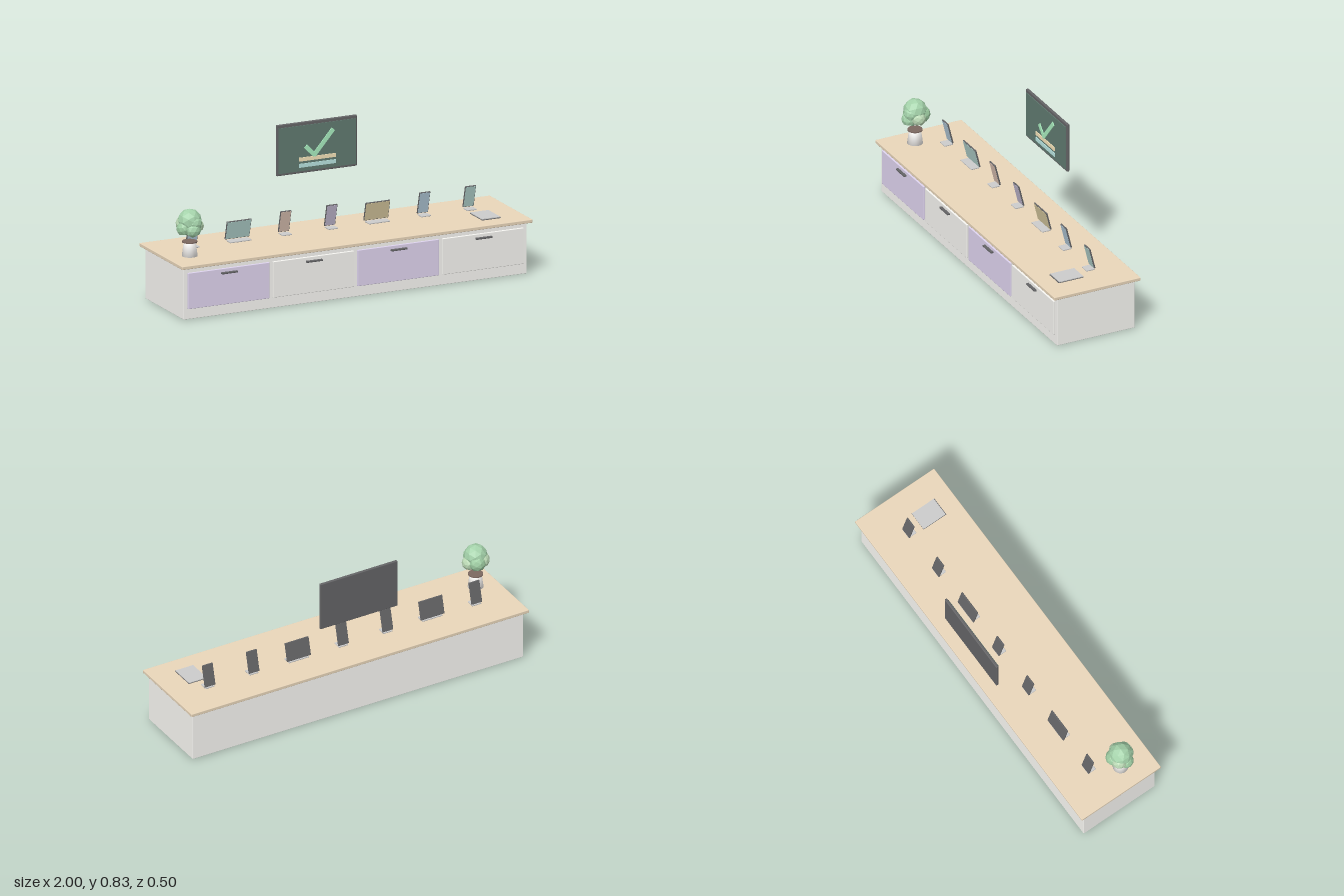
import * as THREE from 'three';
import { RoundedBoxGeometry } from 'three/addons/geometries/RoundedBoxGeometry.js';

const mat = (color, extra = {}) => new THREE.MeshStandardMaterial({ color, ...extra });
const M = {
  body: mat(0xf8f7f3), wood: mat(0xe9d6ba), dark: mat(0x646466), plinth: mat(0x525252),
  lilac: mat(0xded3ee), pale: mat(0xf6f5f1), white: mat(0xfdfdfb), grey: mat(0xd4d6d8),
  board: mat(0x607a70), mint: mat(0xa8ecbe), tan: mat(0xf4e2b8), aqua: mat(0xb8e4e0),
  pot: mat(0xf8f5f2), soil: mat(0x7c6860),
};

function add(parent, name, geometry, material, x, y, z) {
  const mesh = new THREE.Mesh(geometry, material);
  mesh.name = name;
  mesh.position.set(x, y, z);
  parent.add(mesh);
  return mesh;
}
const box = (parent, name, material, w, h, d, x, y, z) =>
  add(parent, name, new THREE.BoxGeometry(w, h, d), material, x, y, z);
const rounded = (parent, name, material, w, h, d, r, x, y, z) =>
  add(parent, name, new RoundedBoxGeometry(w, h, d, 2, r), material, x, y, z);
function group(parent, name, x = 0, y = 0, z = 0) {
  const g = new THREE.Group();
  g.name = name;
  g.position.set(x, y, z);
  parent.add(g);
  return g;
}

// Hollow cabinet shell around a dark plinth tray
function buildCabinet(root) {
  const g = group(root, 'cabinet');
  const t = 0.005, h = 0.269, y = 0.1375;
  for (const s of [1, -1]) {
    rounded(g, s > 0 ? 'frontPanel' : 'backPanel', M.body, 1.958, h, t, 0.0024, 0, y, s * (0.224 - t / 2));
    rounded(g, s > 0 ? 'leftPanel' : 'rightPanel', M.body, t, h, 0.446, 0.0024, s * (0.98 - t / 2), y, 0);
    box(g, 'plinthLongSide', M.plinth, 1.87, 0.04, 0.002, 0, 0.02, s * 0.185);
    box(g, 'plinthEnd', M.plinth, 0.002, 0.04, 0.37, s * 0.934, 0.02, 0);
  }
  box(g, 'plinthBase', M.plinth, 1.87, 0.002, 0.37, 0, 0.001, 0);
  rounded(g, 'countertop', M.wood, 2, 0.018, 0.498, 0.003, 0, 0.2845, 0);

  // Four drawer fronts with bar handles
  [-0.726, -0.242, 0.242, 0.726].forEach((x, i) => {
    const d = group(g, 'drawer', x);
    rounded(d, 'drawerFront', i % 2 ? M.pale : M.lilac, 0.464, 0.192, 0.012, 0.003, 0, 0.154, 0.2275);
    rounded(d, 'handle', M.dark, 0.092, 0.009, 0.015, 0.002, 0, 0.228, 0.2405);
  });
}

// Floating wall display with a tick and two bars
function buildDisplay(root) {
  const g = group(root, 'wallDisplay', 0, 0.692, 0);
  rounded(g, 'frame', M.dark, 0.458, 0.271, 0.015, 0.004, 0, 0, -0.229);
  box(g, 'screen', M.board, 0.44, 0.242, 0.005, 0, -0.002, -0.2195);
  const stroke = (x0, y0, x1, y1) => {
    const m = box(g, 'tickStroke', M.mint, Math.hypot(x1 - x0, y1 - y0) + 0.01, 0.023, 0.005,
      (x0 + x1) / 2, (y0 + y1) / 2, -0.2150);
    m.rotation.z = Math.atan2(y1 - y0, x1 - x0);
  };
  stroke(-0.064, 0.004, -0.018, -0.044);
  stroke(-0.018, -0.044, 0.087, 0.077);
  box(g, 'upperBar', M.tan, 0.21, 0.02, 0.005, 0, -0.06, -0.2150);
  box(g, 'lowerBar', M.aqua, 0.21, 0.02, 0.005, 0, -0.093, -0.2150);
}

// A slab leaning forward over a small flat foot
function buildDevice(root, name, x, width, height, color) {
  const g = group(root, name, x, 0.2935, 0);
  rounded(g, 'foot', M.grey, width * 0.86, 0.007, 0.048, 0.002, 0, 0.005, -0.054);
  const tilted = group(g, 'tiltedPanel', 0, 0.013, -0.076);
  tilted.rotation.x = 0.245;
  rounded(tilted, 'case', M.dark, width, height, 0.008, 0.002, 0, height / 2, 0);
  box(tilted, 'deviceScreen', mat(color), width - 0.006, height - 0.006, 0.002, 0, height / 2, 0.004);
}

// Faceted ball with the lowest facets left out, giving a ragged underside
function leafGeometry(radius, turn) {
  const ball = new THREE.IcosahedronGeometry(radius, 1).rotateX(turn * 0.7).rotateY(turn * 1.3);
  const p = ball.getAttribute('position').array;
  const kept = [];
  for (let i = 0; i < p.length; i += 9) {
    if ((p[i + 1] + p[i + 4] + p[i + 7]) / 3 > -0.62 * radius) kept.push(...p.slice(i, i + 9));
  }
  const leaf = new THREE.BufferGeometry();
  leaf.setAttribute('position', new THREE.Float32BufferAttribute(kept, 3));
  leaf.computeVertexNormals();
  return leaf;
}

// Potted plant
function buildPlant(root) {
  const g = group(root, 'plant', -0.876, 0.2935, 0.083);
  const profile = [[0, 0.002], [0.041, 0.002], [0.031, 0.075], [0, 0.075]];
  add(g, 'pot', new THREE.LatheGeometry(profile.map(p => new THREE.Vector2(...p)), 24), M.pot, 0, 0, 0);
  add(g, 'soil', new THREE.CylinderGeometry(0.039, 0.039, 0.006, 24), M.soil, 0, 0.078, 0);
  const leaves = [0xa4d2aa, 0x9ccaa0, 0xbad8b4].map(c => mat(c, { flatShading: true, side: THREE.DoubleSide }));
  const clumps = [
    [0, 0.190, 0, 0.062], [-0.036, 0.152, 0.008, 0.040], [0.038, 0.157, 0.000, 0.039],
    [0.002, 0.147, 0.033, 0.042], [0.010, 0.164, -0.034, 0.045], [-0.022, 0.170, -0.024, 0.043],
    [0.012, 0.180, 0.026, 0.042],
  ];
  clumps.forEach(([x, y, z, r], i) => add(g, 'leafClump', leafGeometry(r, i), leaves[i % 3], x, y, z));
}

// Notepad: thin cover under a white page
function buildNotepad(root) {
  const g = group(root, 'notepad', 0.812, 0.2935, 0.083);
  box(g, 'cover', M.dark, 0.106, 0.003, 0.142, 0, 0.0015, 0);
  box(g, 'page', M.white, 0.104, 0.004, 0.138, 0, 0.005, -0.002);
}

export function createModel() {
  const root = new THREE.Group();
  root.name = 'displayCounter';
  buildCabinet(root);
  buildDisplay(root);
  const phones = [[-0.79, 0xb6cede], [-0.263, 0xe0c6b6], [0, 0xc6bdd4], [0.53, 0xb6cede], [0.791, 0xb4d4ce]];
  for (const [x, c] of phones) buildDevice(root, 'phone', x, 0.062, 0.12, c);
  for (const [x, c] of [[-0.528, 0xb4d4ce], [0.264, 0xdecfa4]]) buildDevice(root, 'tablet', x, 0.14, 0.102, c);
  buildPlant(root);
  buildNotepad(root);
  return root;
}
